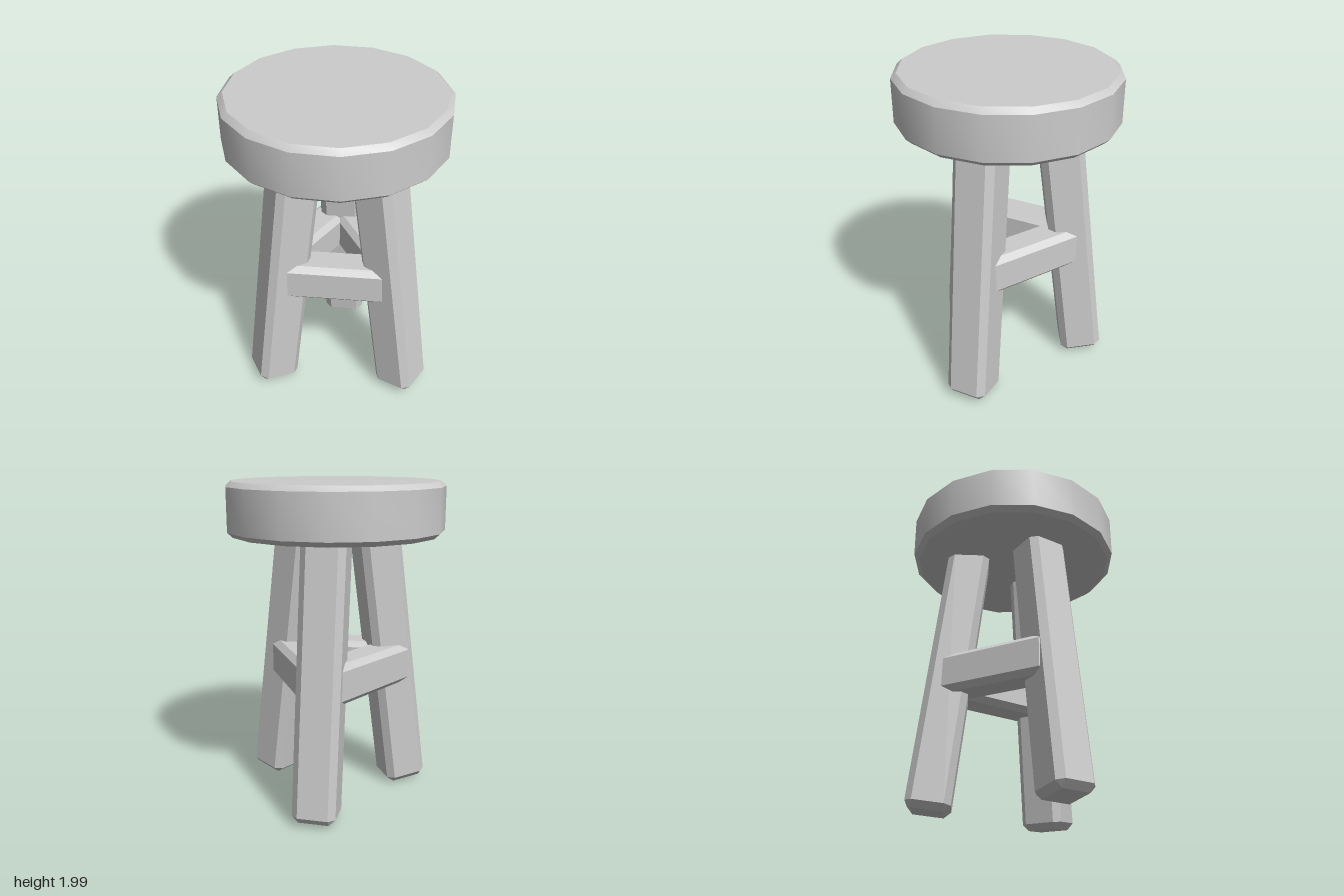
import * as THREE from 'three';
import { toCreasedNormals } from 'three/addons/utils/BufferGeometryUtils.js';
import { ConvexGeometry } from 'three/addons/geometries/ConvexGeometry.js';

const material = new THREE.MeshStandardMaterial({ color: 0xcccccc });

// Box with every edge and corner chamfered by b
function chamferedBox(w, h, d, b) {
  const points = [];
  for (const sx of [-1, 1]) for (const sy of [-1, 1]) for (const sz of [-1, 1]) {
    const x = w / 2, y = h / 2, z = d / 2;
    points.push(
      new THREE.Vector3(sx * x, sy * (y - b), sz * (z - b)),
      new THREE.Vector3(sx * (x - b), sy * y, sz * (z - b)),
      new THREE.Vector3(sx * (x - b), sy * (y - b), sz * z));
  }
  return new ConvexGeometry(points);
}

function addMesh(parent, name, geometry) {
  const mesh = new THREE.Mesh(geometry, material);
  mesh.name = name;
  parent.add(mesh);
  return mesh;
}

// Square leg from a foot point to a point inside the seat, yawed to face outward
function addLeg(parent, name, foot, top, yaw) {
  const a = new THREE.Vector3(...foot), b = new THREE.Vector3(...top);
  const leg = addMesh(parent, name, chamferedBox(0.265, a.distanceTo(b), 0.265, 0.04));
  leg.position.copy(a).lerp(b, 0.5);
  const up = new THREE.Vector3(0, 1, 0);
  leg.quaternion.setFromUnitVectors(up, b.sub(a).normalize())
    .multiply(new THREE.Quaternion().setFromAxisAngle(up, yaw));
}

export function createModel() {
  const group = new THREE.Group();
  group.name = 'stool';

  // Round seat with chamfered rims
  const profile = [[0, 1.68], [0.63, 1.68], [0.663, 1.71], [0.663, 1.97], [0.63, 2], [0, 2]]
    .map(([r, y]) => new THREE.Vector2(r, y));
  addMesh(group, 'seat', toCreasedNormals(new THREE.LatheGeometry(profile, 16), 0.5));

  // Three splayed legs
  addLeg(group, 'frontLeg', [0.275, 0.022, 0.449], [0.134, 1.75, 0.254], -Math.PI / 3);
  addLeg(group, 'backLeg', [0.263, 0.022, -0.419], [0.135, 1.75, -0.255], Math.PI / 3);
  addLeg(group, 'sideLeg', [-0.48, 0.022, 0.018], [-0.258, 1.75, 0.018], 0);

  // Stretchers joining neighbouring legs in a triangle
  ['leftStretcher', 'frontStretcher', 'backStretcher'].forEach((name, i) => {
    const angle = i * Math.PI * 2 / 3;
    const bar = addMesh(group, name, chamferedBox(0.22, 0.25, 0.73, 0.035));
    bar.position.set(Math.cos(angle) * 0.22, 0.847, Math.sin(angle) * 0.22);
    bar.rotation.y = -angle;
  });

  return group;
}
